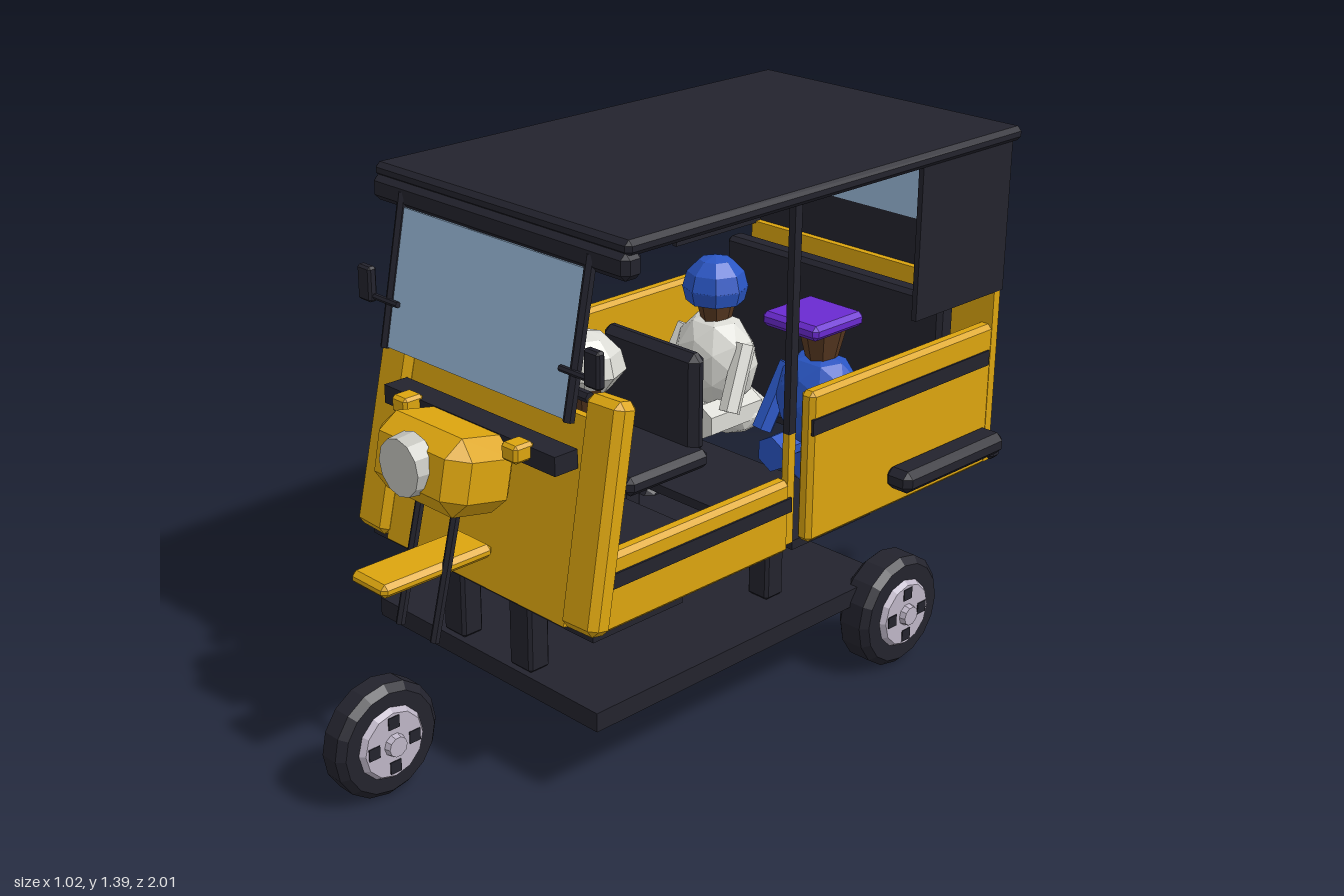
import * as THREE from 'three';
import { ConvexGeometry } from 'three/addons/geometries/ConvexGeometry.js';

const mat = (name, color) => Object.assign(new THREE.MeshStandardMaterial({ color }), { name });

export function createModel() {
  const root = new THREE.Group();
  root.name = 'threeWheeledTaxi';
  const yellow = mat('yellow paint', 0xdca50f), dark = mat('dark trim', 0x23232d);
  const glass = mat('window glass', 0x9abada), grey = mat('light grey metal', 0xc6c6c0);
  const lilac = mat('wheel hub', 0xbdb5c6), red = mat('red lamp', 0xb8262c);
  const blue = mat('blue cloth', 0x2a56c4), purple = mat('purple cap', 0x6a2ad0);
  const brown = mat('brown skin', 0x5a3a22), white = mat('white cloth', 0xdcdcd6);

  const add = (name, geo, material, pos = [0, 0, 0], rot = [0, 0, 0], parent = root) => {
    const g = geo.index ? geo.toNonIndexed() : geo;
    g.computeVertexNormals(); // faceted look
    const m = new THREE.Mesh(g, material);
    m.name = name;
    m.position.set(...pos);
    m.rotation.set(...rot);
    parent.add(m);
    return m;
  };

  // Box with chamfered edges
  const chamfer = (w, h, d, b) => {
    const pts = [];
    for (const x of [-1, 1]) for (const y of [-1, 1]) for (const z of [-1, 1]) {
      const X = x * w / 2, Y = y * h / 2, Z = z * d / 2;
      pts.push(new THREE.Vector3(X, Y - y * b, Z - z * b),
        new THREE.Vector3(X - x * b, Y, Z - z * b),
        new THREE.Vector3(X - x * b, Y - y * b, Z));
    }
    return new ConvexGeometry(pts);
  };
  // Box given by its limits, with optional chamfer
  const span = (name, material, x0, x1, y0, y1, z0, z1, b = 0) => {
    const s = [x1 - x0, y1 - y0, z1 - z0];
    return add(name, b ? chamfer(...s, b) : new THREE.BoxGeometry(...s), material,
      [(x0 + x1) / 2, (y0 + y1) / 2, (z0 + z1) / 2]);
  };
  // The same box on both sides
  const pair = (name, material, x0, x1, ...rest) => {
    span(name + 'Left', material, x0, x1, ...rest);
    span(name + 'Right', material, -x1, -x0, ...rest);
  };
  // Square or round bar between two points
  const bar = (name, material, a, b, r, sides = 6) => {
    const A = new THREE.Vector3(...a), B = new THREE.Vector3(...b), d = B.clone().sub(A);
    const m = add(name, new THREE.CylinderGeometry(r, r, d.length(), sides), material);
    m.position.copy(A.add(B).multiplyScalar(0.5));
    m.quaternion.setFromUnitVectors(new THREE.Vector3(0, 1, 0), d.normalize());
  };

  // Wheels with hub discs and four dark slots on each visible side
  const wheel = (name, x, y, z, r, w, faces) => {
    const g = new THREE.Group();
    g.name = name;
    g.position.set(x, y, z);
    root.add(g);
    const c = 0.018, h = w / 2;
    const profile = [[0, -h], [r - c, -h], [r, -h + c], [r, h - c], [r - c, h], [0, h]]
      .map(p => new THREE.Vector2(...p));
    add('tyre', new THREE.LatheGeometry(profile, 16), dark, [0, 0, 0], [0, 0, -Math.PI / 2], g);
    for (const s of faces) {
      const turn = [0, 0, -s * Math.PI / 2];
      add('hubDisc', new THREE.CylinderGeometry(0.085, 0.095, 0.014, 12), lilac, [s * (h + 0.007), 0, 0], turn, g);
      add('hubCap', new THREE.CylinderGeometry(0.026, 0.03, 0.016, 10), lilac, [s * (h + 0.022), 0, 0], turn, g);
      for (let i = 0; i < 4; i++) {
        const a = i * Math.PI / 2;
        add('hubSlot', new THREE.BoxGeometry(0.005, 0.032, 0.032), dark,
          [s * (h + 0.014), Math.sin(a) * 0.06, Math.cos(a) * 0.06], [0, 0, 0], g);
      }
    }
  };
  wheel('frontWheel', 0, 0.15, 0.855, 0.15, 0.085, [-1, 1]);
  wheel('rearWheelLeft', 0.42, 0.155, -0.52, 0.155, 0.1, [1]);
  wheel('rearWheelRight', -0.42, 0.155, -0.52, 0.155, 0.1, [-1]);

  // Chassis platform, posts and floor plates
  span('platform', dark, -0.41, 0.41, 0.2, 0.25, -0.52, 0.53);
  pair('frontPost', dark, 0.085, 0.165, 0.25, 0.46, 0.455, 0.52, 0.008);
  pair('rearPost', dark, 0.23, 0.3, 0.25, 0.46, -0.235, -0.17, 0.008);
  span('frontFloor', dark, -0.41, 0.41, 0.44, 0.465, 0.25, 0.54);
  span('driverFloor', dark, -0.3, 0.3, 0.45, 0.47, -0.02, 0.25);
  span('middleFloor', dark, -0.4, 0.4, 0.44, 0.465, -0.45, -0.15);
  span('rearFloor', dark, -0.41, 0.41, 0.46, 0.48, -0.89, -0.7);

  // Lower body sides with dark stripes
  pair('frontSidePanel', yellow, 0.385, 0.43, 0.46, 0.655, -0.105, 0.53, 0.012);
  pair('frontStripe', dark, 0.428, 0.435, 0.572, 0.61, -0.105, 0.5);
  pair('rearSidePanel', yellow, 0.39, 0.435, 0.46, 0.865, -0.89, -0.17, 0.012);
  pair('rearStripe', dark, 0.433, 0.44, 0.755, 0.797, -0.87, -0.17);
  pair('sideStep', dark, 0.425, 0.51, 0.52, 0.58, -0.875, -0.465, 0.018);
  pair('doorPostBase', yellow, 0.405, 0.425, 0.48, 0.775, -0.122, -0.098);
  pair('doorPost', dark, 0.405, 0.425, 0.775, 1.36, -0.122, -0.098);

  // Rear wall, bumper, lamps and exhaust
  span('rearWall', yellow, -0.435, 0.435, 0.47, 0.96, -0.905, -0.88);
  span('rearBumper', dark, -0.45, 0.45, 0.47, 0.535, -0.94, -0.895, 0.012);
  pair('tailLamp', red, 0.285, 0.36, 0.775, 0.87, -0.916, -0.9, 0.005);
  pair('rearIndicator', yellow, 0.285, 0.36, 0.878, 0.915, -0.916, -0.9, 0.005);
  bar('exhaust', grey, [0.28, 0.422, -0.8], [0.28, 0.422, -1], 0.022, 10);

  // Rear curtains with a small window
  span('rearCurtain', dark, -0.435, 0.435, 0.955, 1.36, -0.915, -0.9);
  span('rearWindow', glass, -0.19, 0.19, 1.09, 1.28, -0.918, -0.897);
  pair('sideCurtain', dark, 0.42, 0.435, 0.955, 1.36, -0.91, -0.555);

  // Roof and front lip
  span('roof', dark, -0.446, 0.446, 1.355, 1.393, -0.945, 0.46, 0.012);
  span('roofLip', dark, -0.446, 0.446, 1.3, 1.365, 0.41, 0.47, 0.015);

  // Sloping windscreen with posts and mirrors
  add('windscreen', new THREE.BoxGeometry(0.64, 0.345, 0.008), glass, [0, 1.137, 0.5], [-0.2, 0, 0]);
  for (const s of [-1, 1]) {
    bar('windscreenPost', dark, [s * 0.33, 0.965, 0.535], [s * 0.33, 1.34, 0.46], 0.014, 6);
    bar('mirrorArm', dark, [s * 0.29, 1.08, 0.522], [s * 0.41, 1.08, 0.522], 0.008);
    add('mirror', chamfer(0.05, 0.09, 0.025, 0.006), dark, [s * 0.405, 1.11, 0.525]);
    // Sloping front flaps
    add('frontFlap', chamfer(0.12, 0.555, 0.068, 0.018), yellow, [s * 0.375, 0.735, 0.488], [-0.2, 0, s * 0.035]);
    add('frontIndicator', chamfer(0.055, 0.045, 0.06, 0.008), yellow, [s * 0.2, 0.868, 0.575]);
    // Front fork
    bar('frontFork', dark, [s * 0.065, 0.38, 0.73], [s * 0.065, 0.7, 0.65], 0.012);
  }
  add('frontPanel', new THREE.BoxGeometry(0.66, 0.5, 0.03), yellow, [0, 0.7, 0.495], [-0.2, 0, 0]);
  span('frontBar', dark, -0.31, 0.31, 0.832, 0.88, 0.49, 0.56);
  add('lampHousing', chamfer(0.33, 0.19, 0.21, 0.045), yellow, [0, 0.795, 0.63], [-0.2, 0, 0]);
  add('headlampRim', new THREE.CylinderGeometry(0.072, 0.077, 0.05, 12), grey, [0, 0.818, 0.738], [Math.PI / 2, 0, 0]);
  span('frontMudguard', yellow, -0.065, 0.065, 0.537, 0.572, 0.54, 0.87, 0.012);

  // Driver and rear seats
  span('driverSeat', dark, -0.2, 0.2, 0.63, 0.68, -0.06, 0.22, 0.015);
  span('driverBackrest', dark, -0.17, 0.17, 0.66, 0.925, -0.08, -0.027, 0.02);
  span('rearBackrest', dark, -0.385, 0.385, 0.48, 0.96, -0.78, -0.72, 0.012);
  bar('steeringColumn', dark, [0, 0.72, 0.44], [0, 0.95, 0.365], 0.016);
  bar('handlebar', dark, [-0.22, 0.945, 0.368], [0.22, 0.945, 0.368], 0.014);

  // People: low-poly torso, head, limbs and headwear
  const blob = (name, material, pos, size) =>
    add(name, new THREE.IcosahedronGeometry(1, 1), material, pos).scale.set(...size);
  blob('driverBody', white, [0, 0.715, 0.185], [0.1, 0.075, 0.075]);
  add('driverHead', new THREE.CylinderGeometry(0.075, 0.025, 0.1, 8), brown, [0, 0.835, 0.19]);
  add('driverHat', new THREE.SphereGeometry(0.1, 8, 3, 0, Math.PI * 2, 0, Math.PI / 2), white, [0, 0.905, 0.178]);
  add('driverHatBase', new THREE.CylinderGeometry(0.1, 0.06, 0.05, 8), white, [0, 0.88, 0.178]);
  const passenger = (x, z, cloth) => {
    blob('passengerBody', cloth, [x, 0.7, z], [0.13, 0.14, 0.1]);
    add('passengerHead', new THREE.CylinderGeometry(0.07, 0.04, 0.12, 8), brown, [x, 0.87, z]);
    for (const s of [-1, 1]) {
      bar('passengerThigh', cloth, [x + s * 0.06, 0.56, z - 0.08], [x + s * 0.06, 0.56, z + 0.12], 0.05);
      bar('passengerArm', cloth, [x + s * 0.11, 0.77, z], [x + s * 0.13, 0.6, z + 0.08], 0.03);
    }
    blob('passengerHips', cloth, [x, 0.54, z - 0.06], [0.11, 0.07, 0.1]);
  };
  passenger(0.2, -0.47, blue);
  passenger(-0.2, -0.49, white);
  add('flatCap', chamfer(0.19, 0.04, 0.19, 0.012), purple, [0.2, 0.935, -0.43]);
  add('roundCap', new THREE.SphereGeometry(0.09, 8, 3, 0, Math.PI * 2, 0, Math.PI / 2), blue, [-0.2, 0.91, -0.485]);
  add('roundCapBase', new THREE.CylinderGeometry(0.09, 0.08, 0.04, 8), blue, [-0.2, 0.892, -0.485]);
  for (const s of [-1, 1]) bar('driverArm', brown, [s * 0.09, 0.66, 0.2], [s * 0.09, 0.725, 0.45], 0.022);

  return root;
}
